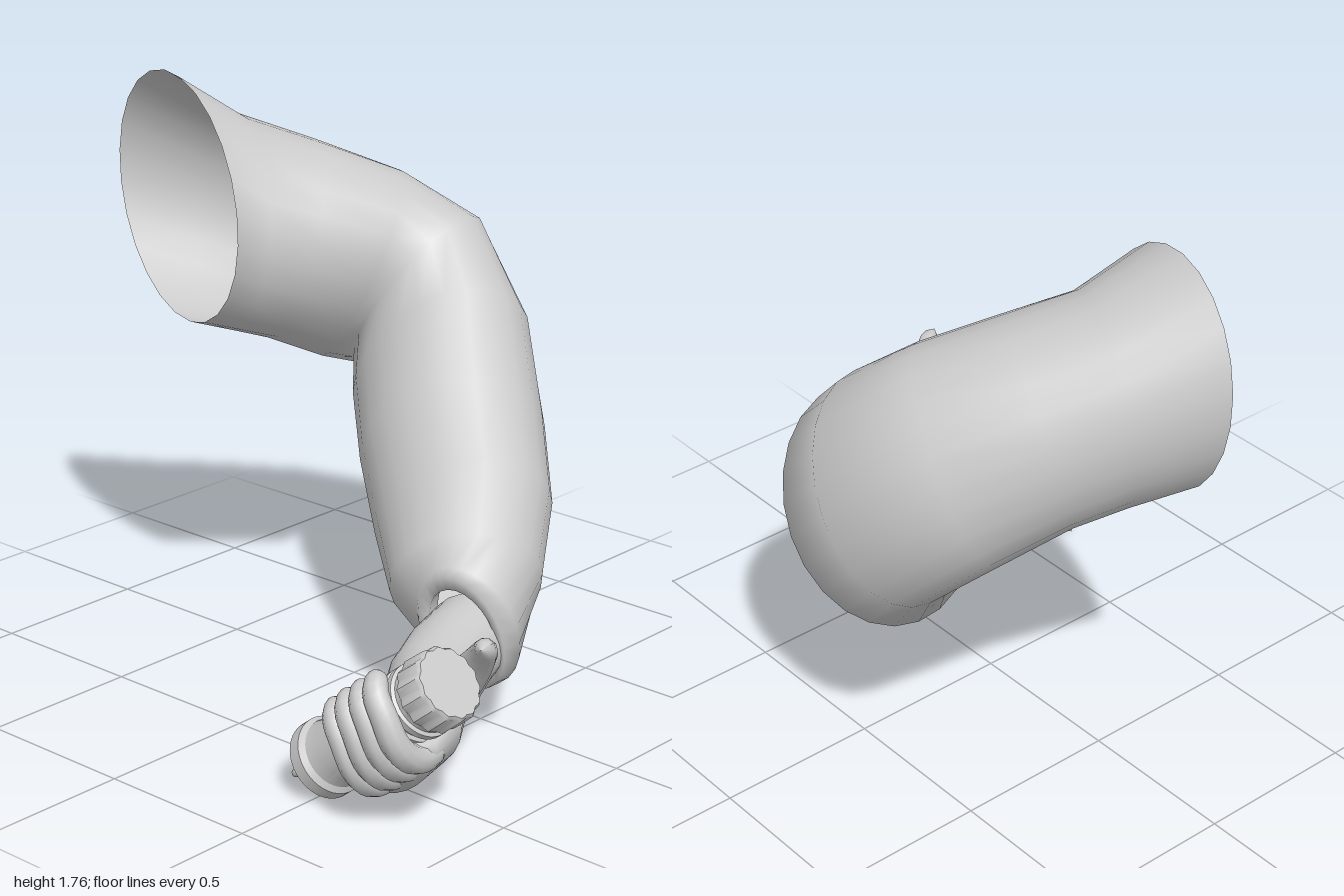
import * as THREE from 'three';
import { toCreasedNormals } from 'three/addons/utils/BufferGeometryUtils.js';

const V = (a) => new THREE.Vector3(...a);
const mat = new THREE.MeshStandardMaterial({ color: 0xcccccc, side: THREE.DoubleSide });

function add(group, name, geometry) {
  const mesh = new THREE.Mesh(geometry, mat);
  mesh.name = name;
  group.add(mesh);
  return mesh;
}

// Skin through elliptical rings, each given as [centre, first half-axis, second half-axis].
function loft(rings, sides) {
  const pos = [], index = [];
  rings.forEach(([c, b, n], i) => {
    for (let j = 0; j < sides; j++) {
      const a = (j / sides) * Math.PI * 2;
      for (let k = 0; k < 3; k++) pos.push(c[k] + b[k] * Math.cos(a) + n[k] * Math.sin(a));
      if (i === 0) continue;
      const j2 = (j + 1) % sides, p = (i - 1) * sides, q = i * sides;
      index.push(p + j, q + j, p + j2, p + j2, q + j, q + j2);
    }
  });
  const g = new THREE.BufferGeometry();
  g.setAttribute('position', new THREE.Float32BufferAttribute(pos, 3));
  g.setIndex(index);
  g.computeVertexNormals();
  return g;
}

// Tube with rounded ends whose radius runs from r0 to r1.
function digit(points, r0, r1) {
  const curve = new THREE.CatmullRomCurve3(points);
  const segs = 20, sides = 10;
  const g = new THREE.TubeGeometry(curve, segs, 1, sides);
  const pos = g.attributes.position, p = new THREE.Vector3();
  for (let i = 0; i <= segs; i++) {
    const u = i / segs, c = curve.getPointAt(u);
    const end = Math.min(1, Math.min(u, 1 - u) / 0.14);
    const r = (r0 + (r1 - r0) * u) * Math.sqrt(Math.max(0.0004, 1 - (1 - end) ** 2));
    for (let j = 0; j <= sides; j++) {
      const k = i * (sides + 1) + j;
      p.fromBufferAttribute(pos, k).sub(c).multiplyScalar(r).add(c);
      pos.setXYZ(k, p.x, p.y, p.z);
    }
  }
  g.computeVertexNormals();
  return g;
}

export function createModel() {
  const model = new THREE.Group();
  model.name = 'sleevedArm';

  // Sleeve: open shoulder, mitred elbow, tapered forearm, cuff turned inward
  add(model, 'sleeve', loft([
    [[-0.045, 1.385, -0.685], [0.05, 0.26, -0.26], [0.035, -0.28, -0.18]],
    [[0.1, 1.295, -0.585], [0.13, 0.2, -0.215], [0.04, -0.255, -0.165]],
    [[0.24, 1.235, -0.485], [0.175, 0.17, -0.18], [0.03, -0.25, -0.18]],
    [[0.425, 1.14, -0.36], [0.205, 0.14, -0.13], [0.03, -0.26, -0.2]],
    [[0.57, 1.04, -0.25], [0.255, 0.02, -0.02], [0.03, -0.27, -0.2]],
    [[0.485, 0.86, -0.08], [0.24, -0.06, 0.1], [0.03, -0.285, -0.21]],
    [[0.33, 0.68, 0.1], [0.215, -0.08, 0.14], [0.02, -0.255, -0.19]],
    [[0.185, 0.52, 0.27], [0.205, -0.07, 0.13], [0.02, -0.23, -0.18]],
    [[0.02, 0.405, 0.42], [0.165, -0.07, 0.125], [0.02, -0.19, -0.14]],
    [[-0.1, 0.335, 0.53], [0.04, -0.06, 0.16], [0.03, -0.18, -0.05]],
    [[-0.13, 0.32, 0.53], [0.02, -0.05, 0.145], [0.02, -0.165, -0.03]],
    [[-0.12, 0.32, 0.53], [0.02, -0.04, 0.11], [0.02, -0.13, -0.02]],
    [[-0.06, 0.33, 0.5], [0.02, -0.04, 0.1], [0.02, -0.12, -0.02]],
  ], 24));

  // Wrist, palm and back of the hand
  const hand = new THREE.Group();
  hand.name = 'hand';
  model.add(hand);
  add(hand, 'palm', loft([
    [[-0.05, 0.3, 0.51], [0, 0.115, 0], [0.05, 0, 0.12]],
    [[-0.2, 0.28, 0.55], [0, 0.12, 0], [0.05, 0, 0.125]],
    [[-0.35, 0.255, 0.61], [0, 0.13, 0.02], [0.05, -0.02, 0.12]],
    [[-0.45, 0.25, 0.67], [0, 0.125, 0.07], [0.045, -0.05, 0.1]],
    [[-0.54, 0.215, 0.73], [0, 0.11, 0.12], [0.02, -0.07, 0.075]],
    [[-0.66, 0.18, 0.78], [0, 0.095, 0.11], [0, -0.05, 0.045]],
    [[-0.73, 0.2, 0.77], [0, 0.075, 0.095], [0, -0.035, 0.03]],
    [[-0.76, 0.22, 0.76], [0, 0.003, 0.003], [0, -0.003, 0.002]],
  ], 20));

  // Grip frame: x across, k toward the back of the hand, t along the held cylinder
  const centre = V([-0.65, 0.265, 0.69]);
  const axis = V([0, 0.63, 0.78]).normalize();
  const back = V([0, -0.78, 0.63]).normalize();
  const grip = (x, k, t) => centre.clone().add(V([x, 0, 0])).addScaledVector(back, k).addScaledVector(axis, t);

  // Four fingers slanting up from the knuckles and curled round the cylinder
  ['little', 'ring', 'middle', 'index'].forEach((name, i) => {
    const t = -0.015 + i * 0.064, s = i === 0 ? 0.9 : 1;
    add(hand, name + 'Finger', digit([
      grip(0.06, 0.125, t - 0.08), grip(-0.06, 0.13, t - 0.06), grip(-0.125, 0.085, t - 0.03),
      grip(-0.145, 0, t), grip(-0.135, -0.07, t + 0.005), grip(-0.08, -0.12, t),
    ], 0.045 * s, 0.034 * s));
  });
  // Thumb, rooted inside the palm
  add(hand, 'thumb', digit([
    V([-0.45, 0.22, 0.65]), V([-0.45, 0.3, 0.75]), V([-0.462, 0.38, 0.825]),
    V([-0.487, 0.46, 0.895]), V([-0.53, 0.52, 0.95]), V([-0.585, 0.545, 0.98]),
  ], 0.085, 0.026));

  // Held cylinder: flanged base, plain body, ridged neck, scalloped cap
  const profile = [
    [0, -0.27], [0.06, -0.27], [0.065, -0.295], [0.095, -0.295], [0.114, -0.275], [0.114, -0.235],
    [0.1, -0.22], [0.094, -0.18], [0.098, 0], [0.096, 0.12], [0.107, 0.13], [0.107, 0.15], [0.097, 0.155],
    [0.097, 0.165], [0.107, 0.17], [0.107, 0.19], [0.097, 0.195], [0.097, 0.21],
    [0.107, 0.22], [0.105, 0.3], [0.098, 0.31], [0, 0.31],
  ].map(([x, y]) => new THREE.Vector2(x, y));
  const lathe = new THREE.LatheGeometry(profile, 56);
  const pos = lathe.attributes.position;
  for (let i = 0; i < pos.count; i++) {
    const x = pos.getX(i), y = pos.getY(i), z = pos.getZ(i);
    if (y < 0.215 || Math.hypot(x, z) < 0.05) continue;
    const s = 1 + 0.035 * Math.cos(14 * Math.atan2(z, x));
    pos.setXYZ(i, x * s, y, z * s);
  }
  const cylinder = add(model, 'heldCylinder', toCreasedNormals(lathe, 0.6));
  cylinder.position.copy(centre);
  cylinder.quaternion.setFromUnitVectors(V([0, 1, 0]), axis);

  // Small bent pin under the base
  add(model, 'basePin', digit([
    grip(0, 0, -0.24), grip(0, 0, -0.31), V([-0.655, 0.05, 0.42]), V([-0.66, 0.015, 0.365]),
  ], 0.022, 0.013));

  return model;
}
